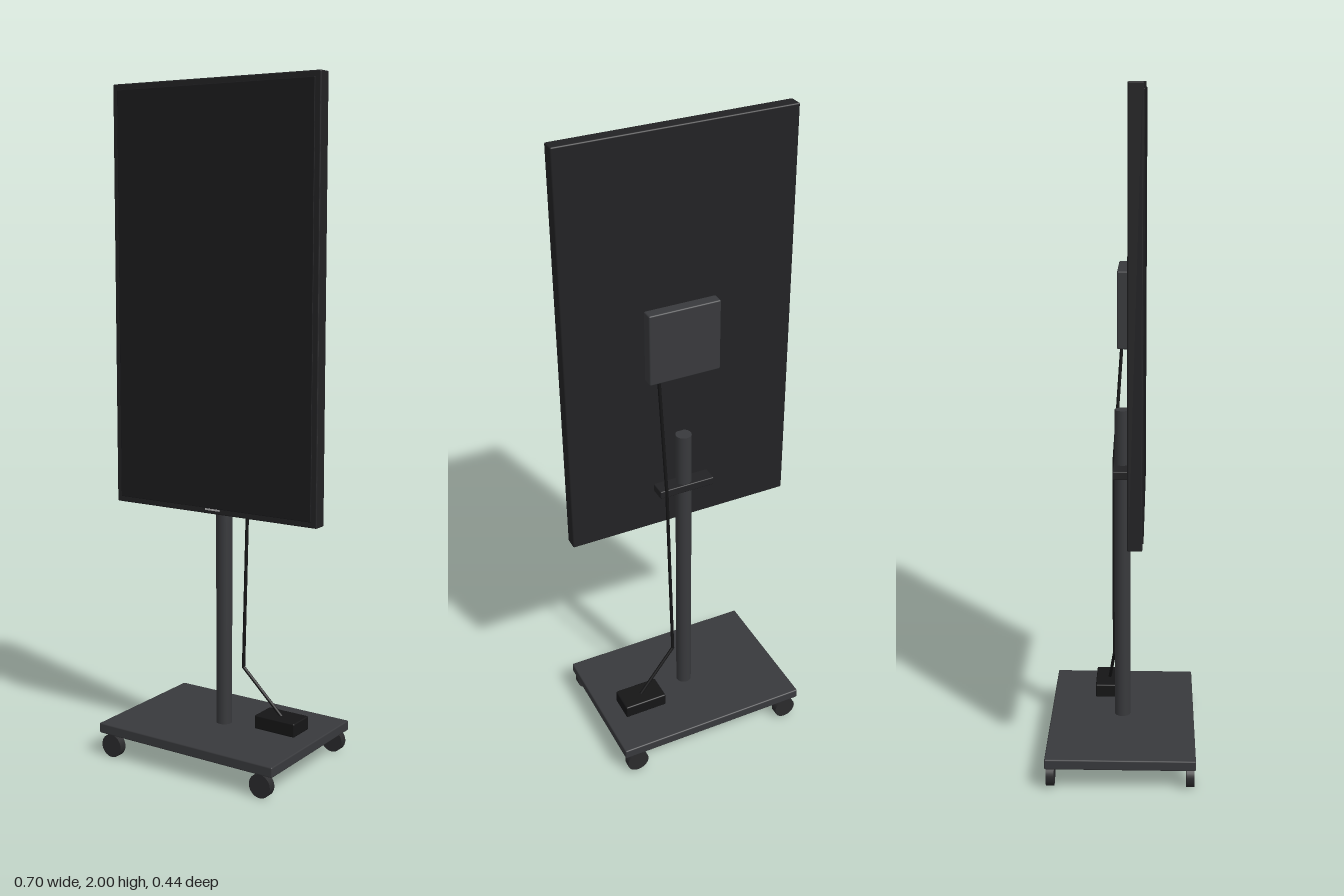
import * as THREE from 'three';
import { RoundedBoxGeometry } from 'three/addons/geometries/RoundedBoxGeometry.js';

const mat = (color) => new THREE.MeshStandardMaterial({ color });
const dark = mat(0x222224);
const glass = mat(0x1b1b1d);
const steel = mat(0x38393c);
const black = mat(0x151516);
const rubber = mat(0x2a2a2c);
const light = mat(0xb0b0b0);

export function createModel() {
  const model = new THREE.Group();

  const add = (name, geometry, material, x = 0, y = 0, z = 0) => {
    const mesh = new THREE.Mesh(geometry, material);
    mesh.name = name;
    mesh.position.set(x, y, z);
    model.add(mesh);
    return mesh;
  };
  // Softly rounded box given by its extents on each axis
  const box = (name, material, [x0, x1], [y0, y1], [z0, z1], r = 0.003) =>
    add(name, new RoundedBoxGeometry(x1 - x0, y1 - y0, z1 - z0, 2, r), material,
      (x0 + x1) / 2, (y0 + y1) / 2, (z0 + z1) / 2);

  // Display
  box('screenHousing', dark, [-0.352, 0.352], [0.755, 2], [0.021, 0.063], 0.004);
  box('screenPanel', glass, [-0.335, 0.335], [0.772, 1.983], [0.055, 0.066], 0.002);
  add('indicatorStrip', new THREE.BoxGeometry(0.05, 0.005, 0.003), light, 0, 0.768, 0.063);
  box('electronicsBox', steel, [-0.11, 0.11], [1.27, 1.49], [-0.013, 0.023], 0.004);

  // Stand
  add('pole', new THREE.CylinderGeometry(0.024, 0.024, 0.97, 32), steel, 0, 0.585, 0);
  box('mountBracket', dark, [-0.088, 0.088], [0.88, 0.905], [-0.027, 0.023]);
  box('basePlate', steel, [-0.308, 0.308], [0.069, 0.1], [-0.22, 0.22], 0.004);

  // Wheels at the four corners
  for (const sx of [-1, 1]) {
    for (const sz of [-1, 1]) {
      const wheel = add('wheel', new THREE.CylinderGeometry(0.035, 0.035, 0.024, 32), rubber,
        sx * 0.265, 0.035, sz * 0.205);
      wheel.rotation.x = Math.PI / 2;
    }
  }

  // Power supply and its cable
  box('powerSupply', black, [0.107, 0.245], [0.1, 0.142], [-0.088, -0.003], 0.004);
  const path = [
    [0.078, 1.28, -0.002], [0.068, 0.9, -0.027], [0.052, 0.275, -0.027], [0.175, 0.14, -0.045],
  ].map((p) => new THREE.Vector3(...p));
  const radius = 0.005;
  for (let i = 0; i < path.length - 1; i++) {
    const a = path[i], b = path[i + 1];
    const mid = a.clone().lerp(b, 0.5);
    const segment = add('cableSegment',
      new THREE.CylinderGeometry(radius, radius, a.distanceTo(b), 12), black, mid.x, mid.y, mid.z);
    segment.quaternion.setFromUnitVectors(new THREE.Vector3(0, 1, 0), b.clone().sub(a).normalize());
    add('cableJoint', new THREE.SphereGeometry(radius, 12, 8), black, b.x, b.y, b.z);
  }

  return model;
}
